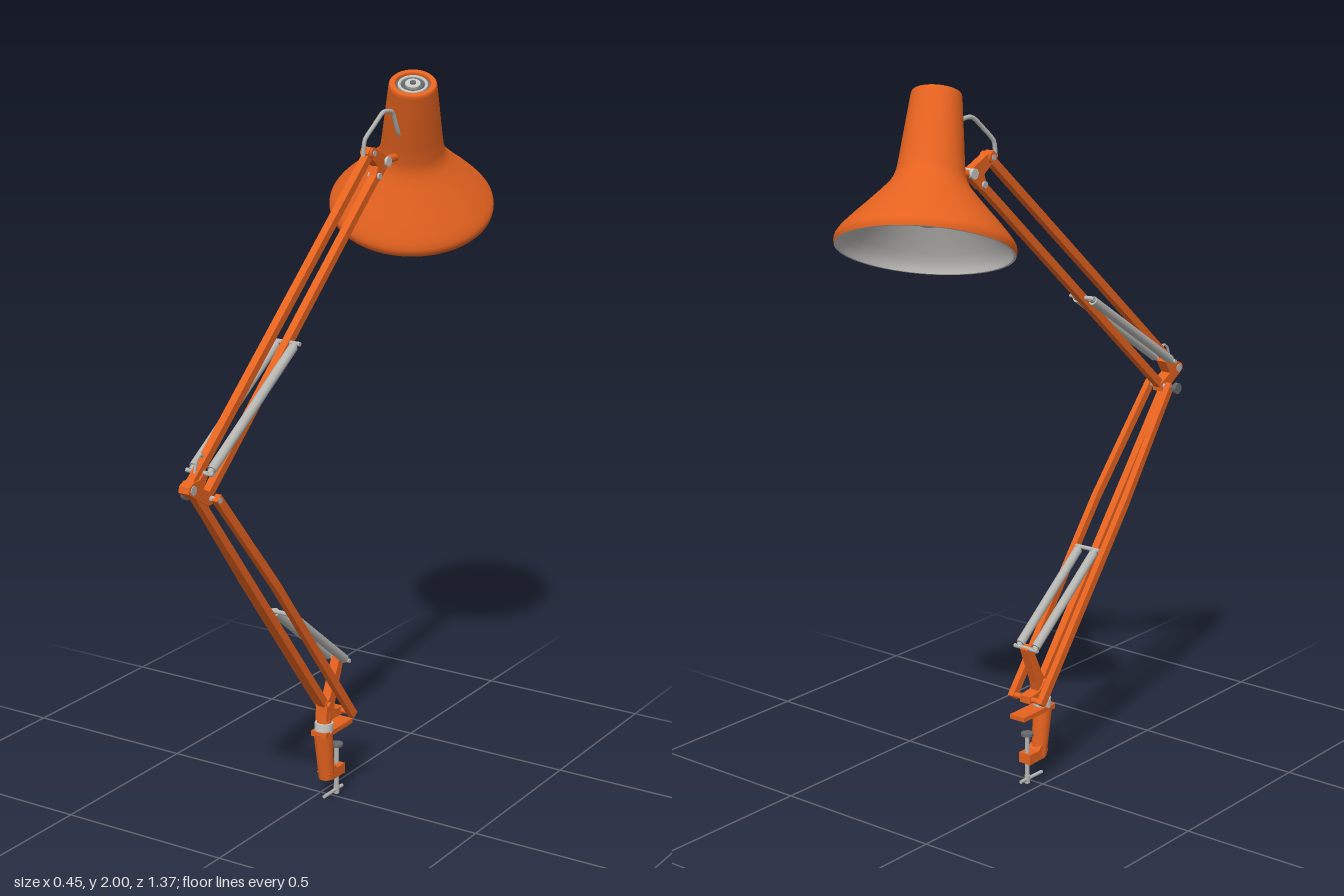
import * as THREE from 'three';

const CX = 0.04; // sideways centre of the arm

const paint = (name, color) => {
  const m = new THREE.MeshStandardMaterial({ color });
  m.name = name;
  return m;
};

export function createModel() {
  const root = new THREE.Group();
  root.name = 'clampLamp';
  const orange = paint('orange enamel', 0xe5621f);
  const steel = paint('spring steel', 0xb4b4b1);
  const pale = paint('bright metal', 0xc6c6c3);
  const dark = paint('dark metal', 0x66696b);
  const lining = paint('shade lining', 0xb4b2af);
  const glass = paint('bulb glass', 0xb8b6b3);

  const V = (x, y, z) => new THREE.Vector3(x, y, z);
  // point given by sideways offset from the arm plane, z and y
  const P = (dx, z, y) => V(CX + dx, y, z);

  const add = (name, geo, mat, parent = root) => {
    const m = new THREE.Mesh(geo, mat);
    m.name = name;
    parent.add(m);
    return m;
  };
  // square bar between two points
  const bar = (name, a, b, w, h, mat) => {
    const m = add(name, new THREE.BoxGeometry(w, h, a.distanceTo(b)), mat);
    m.position.copy(a).lerp(b, 0.5);
    m.lookAt(b);
    return m;
  };
  // round rod between two points
  const rod = (name, a, b, r, mat, r2 = r) => {
    const m = add(name, new THREE.CylinderGeometry(r2, r, a.distanceTo(b), 20), mat);
    m.position.copy(a).lerp(b, 0.5);
    m.quaternion.setFromUnitVectors(V(0, 1, 0), b.clone().sub(a).normalize());
    return m;
  };
  // pin running sideways through the arm
  const pin = (name, z, y, half, r, mat) => rod(name, P(-half, z, y), P(half, z, y), r, mat);
  // flat plate drawn in the z-y plane
  const plate = (name, pts, width, mat) => {
    const shape = new THREE.Shape(pts.map(([z, y]) => new THREE.Vector2(z, y)));
    const geo = new THREE.ExtrudeGeometry(shape, { depth: width, bevelEnabled: false });
    geo.rotateY(-Math.PI / 2).translate(CX + width / 2, 0, 0);
    return add(name, geo, mat);
  };
  const cable = (name, pts, r) => {
    const curve = new THREE.CatmullRomCurve3(pts, false, 'catmullrom', 0.3);
    return add(name, new THREE.TubeGeometry(curve, 32, r, 8), steel);
  };

  // Table clamp: thin top plate, round tapered upright and a foot for the screw
  plate('clampTopPlate', [[0.074, 0.217], [-0.065, 0.216], [-0.065, 0.203], [0.074, 0.202]], 0.05, orange);
  rod('clampUpright', P(0, 0.032, 0.068), P(0, 0.05, 0.212), 0.022, orange, 0.027);
  plate('clampFoot', [[0.05, 0.085], [0.02, 0.105], [0.008, 0.092], [-0.032, 0.092],
    [-0.032, 0.062], [0.035, 0.064]], 0.04, orange);
  rod('clampScrew', P(0, -0.02, 0.01), P(0, -0.02, 0.15), 0.0065, steel);
  rod('screwPad', P(0, -0.02, 0.144), P(0, -0.02, 0.152), 0.018, dark);
  rod('screwHandle', P(0, -0.05, 0.012), P(0, 0.045, 0.012), 0.005, steel);
  rod('screwHub', P(0, -0.02, 0), P(0, -0.02, 0.024), 0.008, steel);
  rod('swivelCollar', P(0, 0.047, 0.212), P(0, 0.045, 0.238), 0.026, pale);
  rod('swivelPost', P(0, 0.045, 0.236), P(0, 0.042, 0.262), 0.02, orange);

  // Base bracket: slim strut to the spring pin above a wider pivot block
  plate('baseStrut', [[0.06, 0.25], [0.055, 0.298], [0.035, 0.31], [-0.015, 0.414],
    [-0.036, 0.404], [0.005, 0.3], [0.015, 0.268]], 0.026, orange);
  plate('basePivotBlock', [[0.062, 0.246], [0.058, 0.29], [0.035, 0.29], [0.015, 0.27],
    [-0.03, 0.264], [-0.03, 0.244]], 0.036, orange);
  pin('basePivotRear', -0.02, 0.255, 0.058, 0.008, orange);
  pin('basePivotFront', 0.042, 0.29, 0.021, 0.009, orange);

  // Lower arm: one middle bar and a pair of outer bars that narrow to the elbow
  bar('lowerMiddleBar', P(0, 0.042, 0.285), P(0, 0.663, 1.08), 0.022, 0.022, orange);
  for (const s of [-1, 1]) {
    const a = P(s * 0.051, -0.024, 0.248), b = P(s * 0.051, 0.36, 0.743), c = P(s * 0.035, 0.598, 1.042);
    bar('lowerOuterBar', a, b, 0.018, 0.023, orange);
    bar('lowerOuterBarTaper', b, c, 0.018, 0.023, orange);
  }

  // Upper arm: two parallel bars
  bar('upperTopBar', P(0, 0.663, 1.08), P(0, -0.18, 1.797), 0.022, 0.022, orange);
  bar('upperBottomBar', P(0, 0.594, 1.037), P(0, -0.21, 1.729), 0.022, 0.022, orange);

  // Elbow
  plate('elbowBracket', [[0.688, 1.07], [0.684, 1.086], [0.665, 1.095], [0.64, 1.095], [0.615, 1.114],
    [0.6, 1.105], [0.625, 1.068], [0.582, 1.045], [0.585, 1.02], [0.605, 1.018], [0.665, 1.055]],
    0.032, orange);
  pin('elbowPivotOuter', 0.668, 1.075, 0.018, 0.012, steel);
  pin('elbowPivotInner', 0.594, 1.035, 0.045, 0.008, steel);
  rod('elbowKnobStem', P(-0.062, 0.594, 1.035), P(-0.04, 0.594, 1.035), 0.007, dark);
  rod('elbowKnob', P(-0.067, 0.594, 1.035), P(-0.056, 0.594, 1.035), 0.016, dark);
  cable('elbowCable', [P(0, 0.645, 1.09), P(0, 0.632, 1.138), P(0, 0.612, 1.152), P(0, 0.592, 1.13)], 0.004);

  // Balance springs, a pair on each arm, with cross pins
  const springPair = (name, z0, y0, z1, y1) => {
    for (const [z, y] of [[z0, y0], [z1, y1]]) pin(name + 'Pin', z, y, 0.041, 0.006, steel);
    for (const s of [-1, 1]) {
      const a = P(s * 0.0275, z0, y0), b = P(s * 0.0275, z1, y1);
      const at = t => a.clone().lerp(b, t);
      rod(name, at(0.03), at(0.97), 0.0127, steel);
      rod(name + 'Hook', a, at(0.05), 0.008, steel);
      rod(name + 'Hook', at(0.95), b, 0.008, steel);
    }
  };
  springPair('lowerSpring', -0.024, 0.405, 0.255, 0.625);
  springPair('upperSpring', 0.617, 1.107, 0.225, 1.358);

  // Head bracket
  plate('headBracket', [[-0.15, 1.795], [-0.168, 1.812], [-0.19, 1.805], [-0.26, 1.772],
    [-0.26, 1.752], [-0.215, 1.715], [-0.19, 1.715], [-0.205, 1.755]], 0.023, orange);
  pin('headYoke', -0.175, 1.795, 0.018, 0.015, orange);
  pin('headPivotUpper', -0.175, 1.795, 0.02, 0.008, steel);
  pin('headPivotLower', -0.207, 1.728, 0.018, 0.009, steel);
  pin('headTiltJoint', -0.25, 1.762, 0.019, 0.014, pale);
  rod('shadeArm', P(0, -0.25, 1.762), P(0, -0.34, 1.765), 0.011, orange);
  cable('headCable', [P(0.002, -0.143, 1.79), P(0.004, -0.148, 1.833), P(0.014, -0.18, 1.87),
    P(0.02, -0.215, 1.9), P(0.024, -0.255, 1.895), P(0.024, -0.285, 1.84), P(0.024, -0.315, 1.81)], 0.006);

  // Shade, built upright and then tilted onto its axis
  const shade = new THREE.Group();
  shade.name = 'shade';
  shade.position.set(-0.003, 1.6, -0.475);
  shade.quaternion.setFromUnitVectors(V(0, 1, 0), V(0.097, 0.375, 0.164).normalize());
  root.add(shade);
  const lathe = (name, pts, mat) => add(name,
    new THREE.LatheGeometry(pts.map(([r, h]) => new THREE.Vector2(r, h)), 64), mat, shade);

  lathe('shadeShell', [[0.2275, 0.001], [0.2295, 0.009], [0.2295, 0.016], [0.2275, 0.024], [0.22, 0.036],
    [0.207, 0.052], [0.185, 0.077], [0.155, 0.109], [0.126, 0.141], [0.104, 0.167], [0.093, 0.186],
    [0.087, 0.207], [0.082, 0.25], [0.066, 0.403], [0.0645, 0.411], [0.061, 0.415],
    [0.05, 0.415], [0.047, 0.412], [0.046, 0.402]], orange);
  lathe('shadeLining', [[0.001, 0.225], [0.078, 0.222], [0.088, 0.184], [0.1, 0.164], [0.121, 0.138],
    [0.151, 0.106], [0.181, 0.074], [0.203, 0.049], [0.216, 0.03], [0.221, 0.014], [0.221, 0.001]], lining);
  lathe('shadeRim', [[0.221, 0.001], [0.2275, 0.001]], pale);

  // Vented cap on the neck
  const disc = (name, r, h, thick, mat) => {
    add(name, new THREE.CylinderGeometry(r, r, thick, 40), mat, shade).position.y = h;
  };
  const ring = (name, r, tube, h, mat) => {
    const m = add(name, new THREE.TorusGeometry(r, tube, 8, 40), mat, shade);
    m.rotation.x = Math.PI / 2;
    m.position.y = h;
  };
  disc('capVent', 0.047, 0.403, 0.008, dark);
  ring('capOuterRing', 0.037, 0.0045, 0.408, pale);
  ring('capInnerRing', 0.027, 0.003, 0.407, dark);
  disc('capSwitchBase', 0.021, 0.408, 0.01, pale);
  disc('capSwitch', 0.008, 0.413, 0.008, dark);

  // Bulb and holder
  disc('bulbHolder', 0.03, 0.205, 0.05, lining);
  add('bulb', new THREE.SphereGeometry(0.067, 32, 20), glass, shade).position.y = 0.13;

  return root;
}
